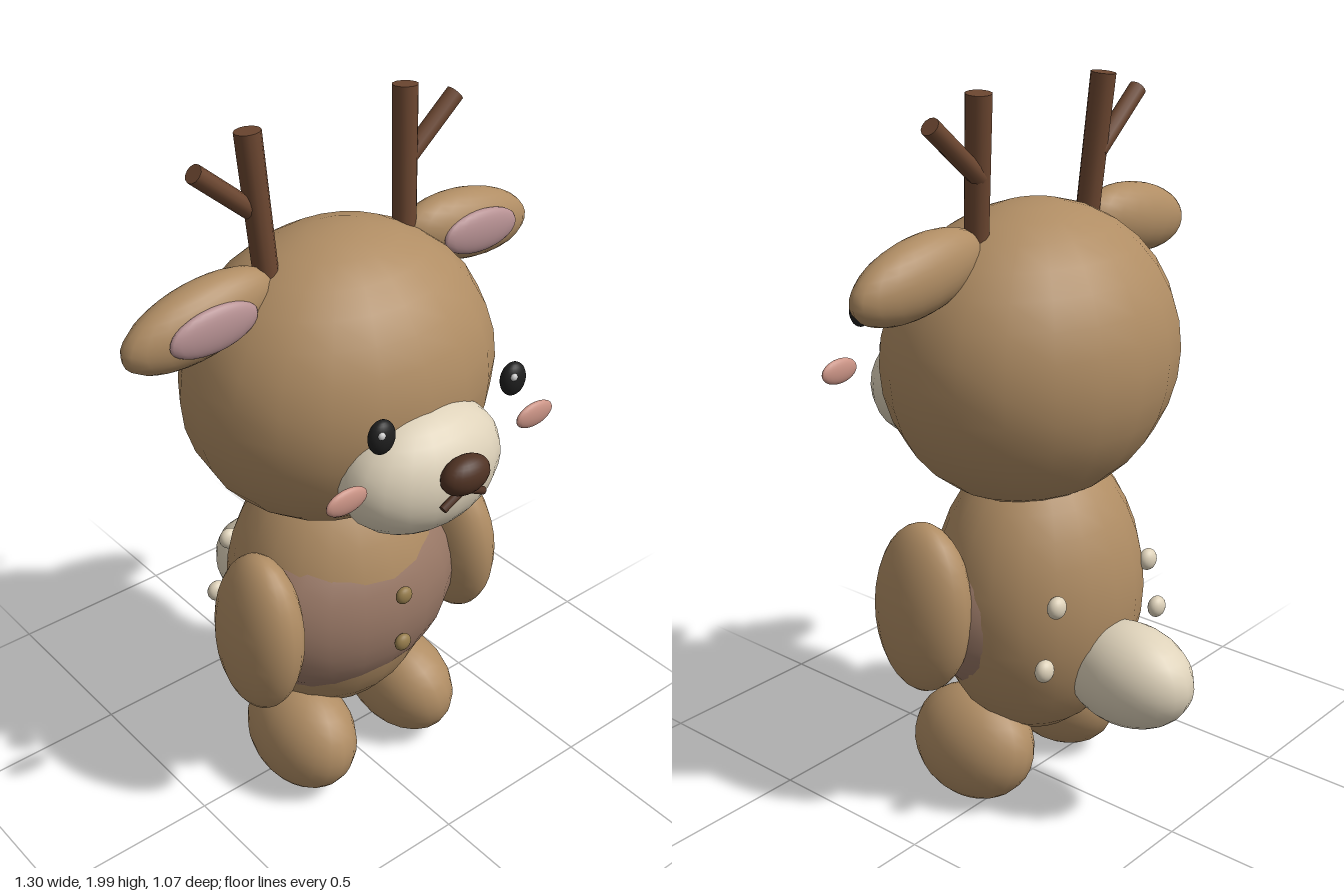
import * as THREE from 'three';

const colors = {
  fur: 0xb08d64, cream: 0xded2ba, antler: 0x6b4630, nose: 0x4f3223,
  belly: 0x997866, pink: 0xcb9486, earPink: 0xb89294, black: 0x1f1f1f,
  brass: 0x957c4c, white: 0xffffff,
};
const materials = {};
for (const key in colors) materials[key] = new THREE.MeshStandardMaterial({ color: colors[key] });

const ball = new THREE.SphereGeometry(1, 20, 16);

export function createModel() {
  const model = new THREE.Group();

  // Ellipsoid from centre, radii and optional rotation
  function blob(name, color, center, radii, rotation = [0, 0, 0]) {
    const mesh = new THREE.Mesh(ball, materials[color]);
    mesh.name = name;
    mesh.position.set(...center);
    mesh.scale.set(...radii);
    mesh.rotation.set(...rotation);
    model.add(mesh);
  }

  // Round bar between two points
  function bar(name, color, from, to, r0, r1) {
    const a = new THREE.Vector3(...from), b = new THREE.Vector3(...to);
    const dir = b.clone().sub(a);
    const mesh = new THREE.Mesh(new THREE.CylinderGeometry(r1, r0, dir.length(), 12), materials[color]);
    mesh.name = name;
    mesh.position.copy(a).add(b).multiplyScalar(0.5);
    mesh.quaternion.setFromUnitVectors(new THREE.Vector3(0, 1, 0), dir.normalize());
    model.add(mesh);
  }

  // Head, muzzle and nose
  blob('head', 'fur', [0, 1.295, 0], [0.446, 0.406, 0.366]);
  blob('muzzle', 'cream', [0, 1.16, 0.325], [0.242, 0.175, 0.16]);
  blob('nose', 'nose', [0, 1.213, 0.493], [0.074, 0.052, 0.044]);

  // Body, belly patch and tail
  blob('body', 'fur', [0, 0.615, -0.022], [0.32, 0.42, 0.278]);
  blob('bellyPatch', 'belly', [0, 0.603, 0.03], [0.357, 0.3, 0.24]);
  blob('tail', 'cream', [0, 0.445, -0.34], [0.135, 0.145, 0.197]);

  // Belly buttons
  for (const y of [0.708, 0.545]) blob('button', 'brass', [0, y, 0.282], [0.026, 0.026, 0.017]);

  for (const [side, s] of [['left', 1], ['right', -1]]) {
    // Face
    blob(side + 'Eye', 'black', [s * 0.215, 1.375, 0.425], [0.038, 0.046, 0.026]);
    blob(side + 'EyeHighlight', 'white', [s * 0.215 - 0.016, 1.393, 0.445], [0.01, 0.01, 0.008]);
    blob(side + 'Cheek', 'pink', [s * 0.313, 1.228, 0.416], [0.063, 0.035, 0.015]);
    bar(side + 'Mouth', 'nose', [0, 1.17, 0.49], [s * 0.068, 1.135, 0.49], 0.011, 0.011);

    // Ears
    blob(side + 'Ear', 'fur', [s * 0.43, 1.582, 0], [0.222, 0.098, 0.077], [0, 0, -s * 0.18]);
    blob(side + 'InnerEar', 'earPink', [s * 0.43, 1.583, 0.066], [0.128, 0.06, 0.024], [0, 0, -s * 0.06]);

    // Antlers
    bar(side + 'Antler', 'antler', [s * 0.22, 1.58, 0], [s * 0.243, 2, -0.036], 0.032, 0.034);
    bar(side + 'AntlerBranch', 'antler', [s * 0.235, 1.795, -0.027], [s * 0.405, 1.94, -0.027], 0.025, 0.025);

    // Limbs
    blob(side + 'Arm', 'fur', [s * 0.348, 0.64, 0.09], [0.1, 0.24, 0.155], [0, 0, s * 0.06]);
    blob(side + 'Foot', 'fur', [s * 0.187, 0.172, 0.06], [0.133, 0.163, 0.195], [0, 0, s * 0.2]);

    // Spots on the back
    for (const [x, y] of [[0.2, 0.69], [0.25, 0.525]])
      blob(side + 'BackSpot', 'cream', [s * x, y, -0.25], [0.03, 0.031, 0.023]);
  }
  return model;
}
